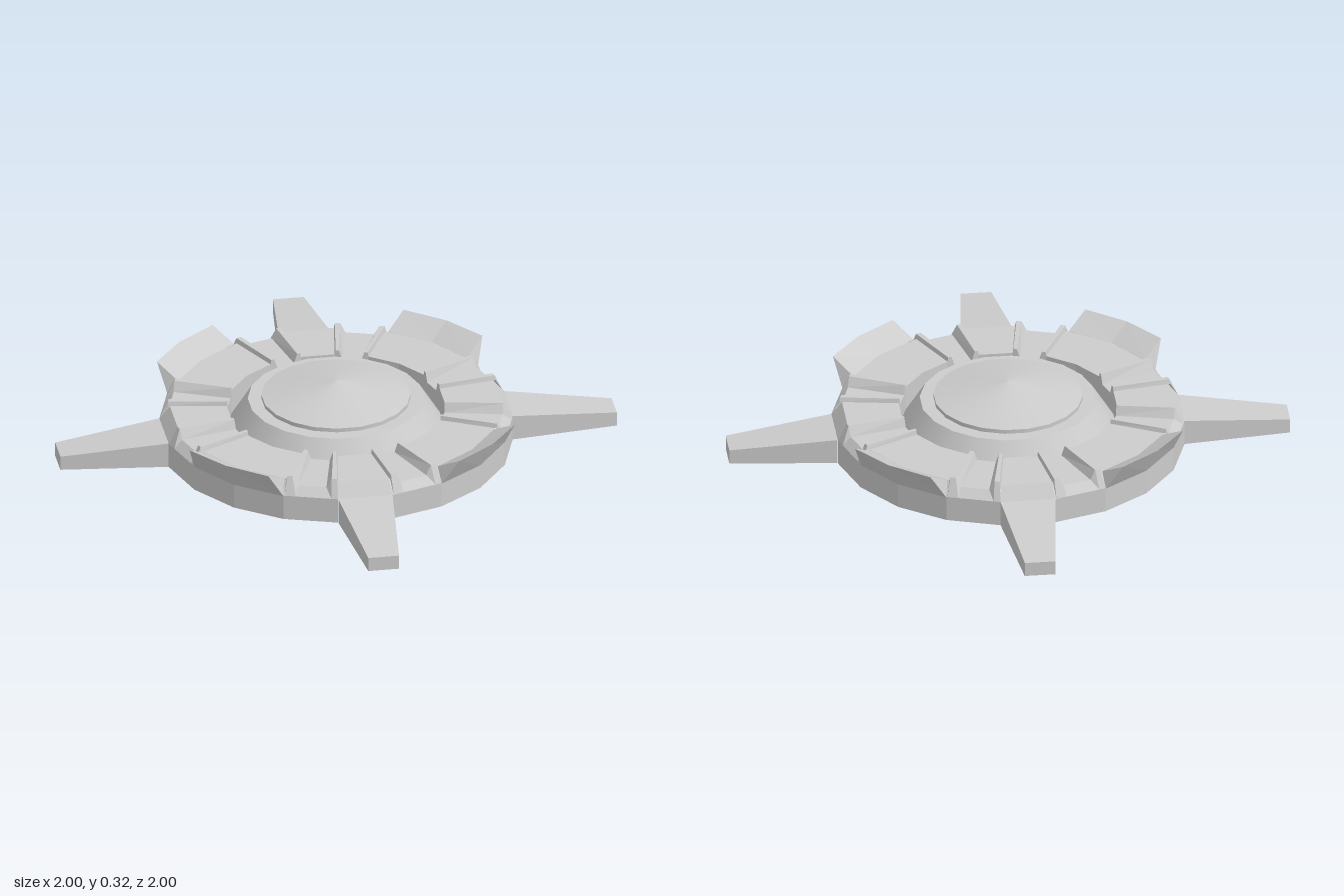
import * as THREE from 'three';

const D = Math.PI / 180;
const SIDES = 20;
const mat = new THREE.MeshStandardMaterial({ color: 0xcccccc, flatShading: true, side: THREE.DoubleSide });
const smoothMat = new THREE.MeshStandardMaterial({ color: 0xcccccc, side: THREE.DoubleSide });

// Point from angle (degrees, measured from +z towards +x), radius and height
const polar = (a, r, y) => [r * Math.sin(a * D), y, r * Math.cos(a * D)];

// Skin between successive cross-sections, flat-faced; optional end caps
function loft(sections, capped = false) {
  const pos = [];
  const tri = (...pts) => pts.forEach((p) => pos.push(...p));
  for (let i = 0; i < sections.length - 1; i++) {
    const s = sections[i], t = sections[i + 1];
    for (let j = 0; j < s.length - 1; j++) {
      tri(s[j], s[j + 1], t[j + 1]);
      tri(s[j], t[j + 1], t[j]);
    }
  }
  if (capped) {
    const s = sections[0], t = sections[sections.length - 1];
    for (let j = 1; j < s.length - 1; j++) {
      tri(s[0], s[j + 1], s[j]);
      tri(t[0], t[j], t[j + 1]);
    }
  }
  const g = new THREE.BufferGeometry();
  g.setAttribute('position', new THREE.Float32BufferAttribute(pos, 3));
  g.computeVertexNormals();
  return g;
}

// Radial section of the deck: inner wall, top, bevel, and (if wanted) rim wall
function deckSection(a, top, edge, wall = true, k = 1) {
  const pts = [[0.52, 0.067], [0.52, top], [edge, top], [0.84, 0.125]];
  if (wall) pts.push([0.84, 0]);
  return pts.map(([r, y]) => polar(a, r * k, y));
}

const frontDeck = () => loft([-18, 0, 18].map((a) => deckSection(a, 0.19, 0.79)));

const armDeck = () => loft([36, 54].map((a) => deckSection(a, 0.19, 0.79, false)));

// Recessed channel between two raised ribs, cut along one straight rim facet
function channelDeck(start) {
  const steps = [[0, 0.19], [0.4, 0.212], [2.2, 0.212], [4, 0.165]];
  const across = [...steps, ...steps.map(([a, y]) => [18 - a, y]).reverse()];
  return loft(across.map(([a, y]) => {
    const k = Math.cos(9 * D) / Math.cos((a - 9) * D);
    return deckSection(start + a, y, 0.8, true, k);
  }));
}

// Upturned flap leaning out over the rim
function flapGeometry() {
  return loft([-1, 0, 1].map((s) => {
    const base = polar(17 * s, 0.79, 0.19);
    const tip = polar(14.6 * s, 0.91, 0.255);
    const foot = polar(18 * s, 0.84, 0.122);
    return [base, tip, foot];
  }), true);
}

// Tapered arm, open below, running out along +z before it is turned
function armGeometry() {
  const section = (z, w, h) => [[-w, 0, z], [-w, h, z], [w, h, z], [w, 0, z]];
  const root = section(0.83, 0.131, 0.125);
  const tip = section(1.342, 0.074, 0.07);
  const end = tip.map(([x, , z]) => [x, 0, z]);
  return loft([tip, root].concat([]).reverse().concat([end]));
}

function createModel() {
  const model = new THREE.Group();
  model.name = 'saucer';
  const add = (parent, name, geo, m = mat) => {
    const mesh = new THREE.Mesh(geo, m);
    mesh.name = name;
    parent.add(mesh);
    return mesh;
  };

  // Four identical quarters: flap, two channels and a diagonal arm
  const parts = {
    deckPanel: frontDeck(),
    innerChannel: channelDeck(18),
    armPanel: armDeck(),
    outerChannel: channelDeck(54),
    flap: flapGeometry(),
    arm: armGeometry().rotateY(45 * D),
  };
  for (let q = 0; q < 4; q++) {
    const quarter = new THREE.Group();
    quarter.name = 'quarter' + (q + 1);
    quarter.rotation.y = q * Math.PI / 2;
    for (const [name, geo] of Object.entries(parts)) add(quarter, name, geo);
    model.add(quarter);
  }

  // Central hub: each band is its own lathe so the edges between stay sharp
  const hub = new THREE.Group();
  hub.name = 'hub';
  const band = (name, ...pts) => add(hub, name, new THREE.LatheGeometry(
    pts.map(([r, y]) => new THREE.Vector2(r, y)), SIDES), smoothMat);
  band('hubSlope', [0.52, 0.067], [0.42, 0.23]);
  band('hubLedge', [0.42, 0.23], [0.355, 0.23]);
  band('domeLip', [0.355, 0.23], [0.355, 0.25]);
  band('dome', [0.355, 0.25], [0.18, 0.288], [0, 0.322]);
  model.add(hub);

  return model;
}

export { createModel };
